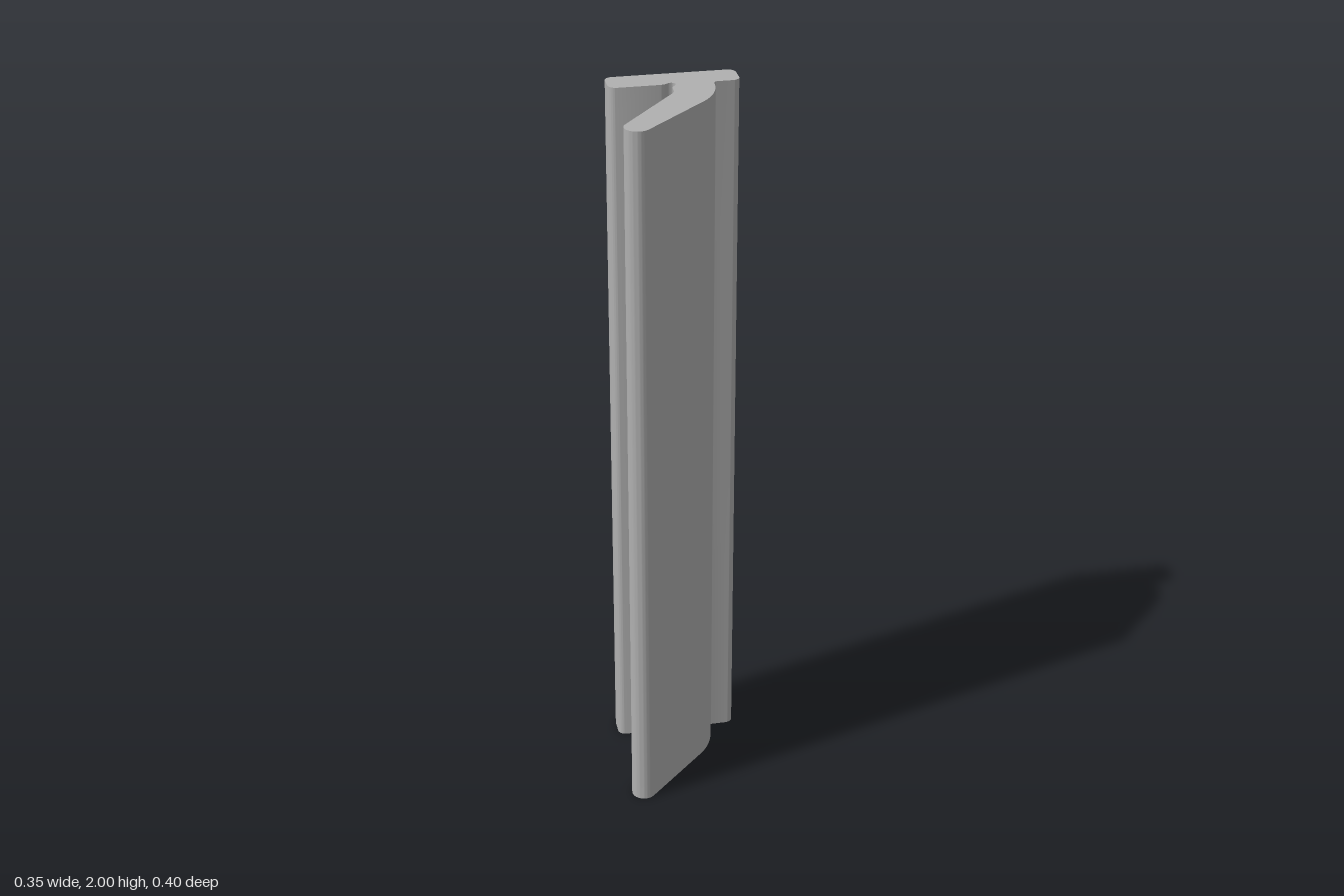
import * as THREE from 'three';
import { toCreasedNormals } from 'three/addons/utils/BufferGeometryUtils.js';

const HEIGHT = 2;

// Cross-section seen from above; shape y is -z
function profileShape() {
  const s = new THREE.Shape();
  const r = 0.022, left = -0.166, right = 0.176, back = 0.2, face = 0.117;

  // flange, back side
  s.moveTo(left + r, back);
  s.lineTo(right - r, back);
  s.absarc(right - r, back - r, r, Math.PI / 2, 0, true);
  s.lineTo(right, face + r);
  s.absarc(right - r, face + r, r, 0, -Math.PI / 2, true);

  // fillet and curved outer side of the lip
  s.lineTo(0.116, face);
  s.quadraticCurveTo(0.104, face, 0.104, 0.104);
  s.bezierCurveTo(0.102, 0.06, 0.085, 0.015, 0.054, -0.018);

  // slanted lip with a rounded tip
  s.lineTo(-0.119, -0.189);
  s.absarc(-0.143, -0.165, 0.034, -Math.PI / 4, -Math.PI * 1.215, true);
  s.lineTo(-0.016, 0.049);

  // inner bend and relief groove
  s.quadraticCurveTo(-0.008, 0.058, -0.008, 0.07);
  s.lineTo(-0.008, 0.082);
  s.quadraticCurveTo(-0.007, 0.099, 0.002, 0.106);
  s.bezierCurveTo(0.008, 0.113, 0.006, 0.124, 0, 0.127);
  s.quadraticCurveTo(-0.006, 0.13, -0.012, 0.126);
  s.quadraticCurveTo(-0.022, face, -0.036, face);

  // flange, left end
  s.lineTo(left + r, face);
  s.absarc(left + r, face + r, r, -Math.PI / 2, -Math.PI, true);
  s.lineTo(left, back - r);
  s.absarc(left + r, back - r, r, Math.PI, Math.PI / 2, true);
  return s;
}

export function createModel() {
  const group = new THREE.Group();
  group.name = 'sealStrip';
  const grey = new THREE.MeshStandardMaterial({ color: 0xb0b0b0 });
  grey.name = 'grey';

  // the section swept straight up
  const geometry = new THREE.ExtrudeGeometry(profileShape(), {
    depth: HEIGHT, bevelEnabled: false, curveSegments: 12,
  });
  geometry.rotateX(-Math.PI / 2);

  const strip = new THREE.Mesh(toCreasedNormals(geometry, 0.6), grey);
  strip.name = 'profileStrip';
  group.add(strip);
  return group;
}
